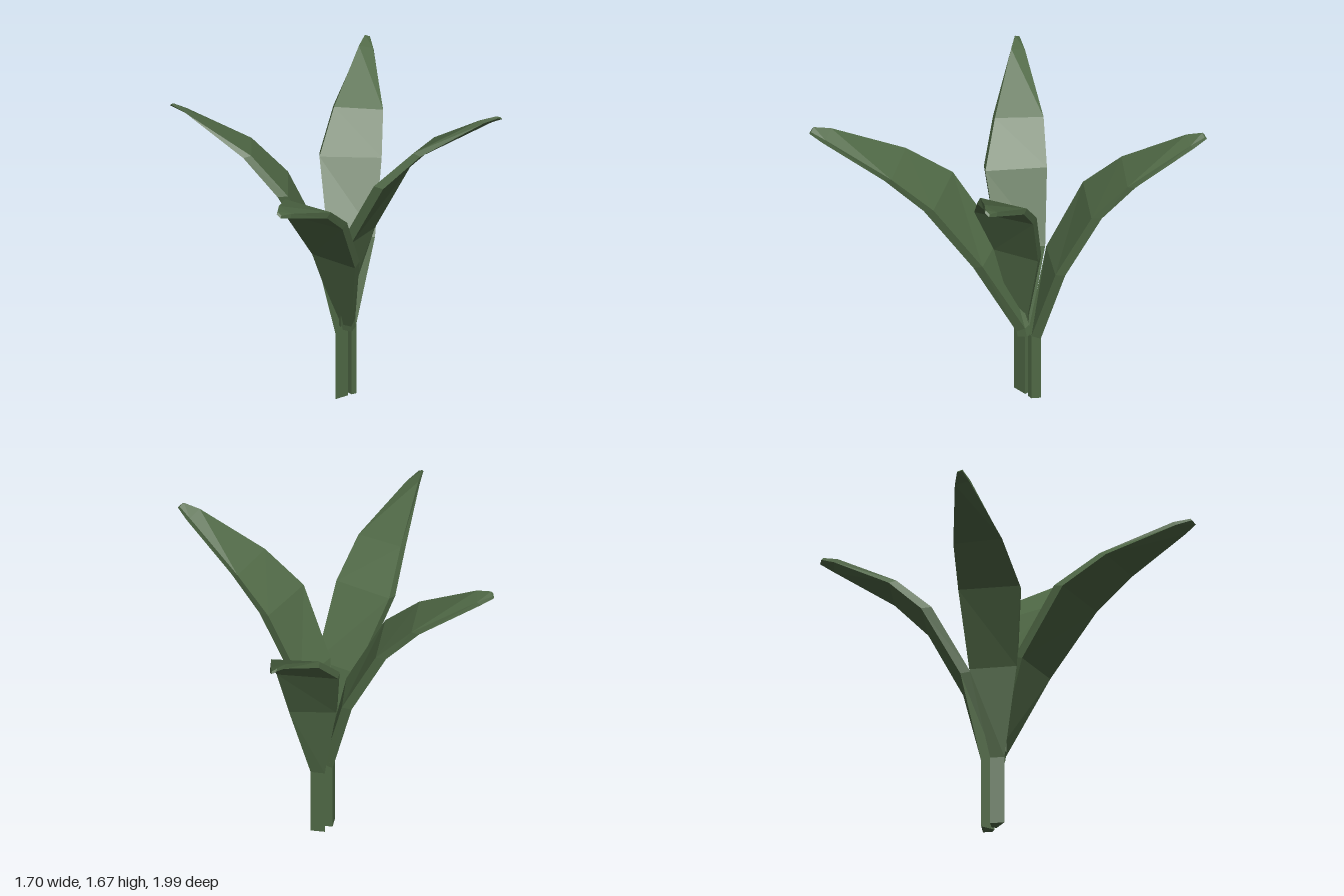
import * as THREE from 'three';

// Stem section, corners as [sideways, outward]: outer left, outer right, inner right, inner left
const STEM = [[-0.01, -0.015], [0.06, 0], [0.07, -0.046], [0.05, -0.065]];
const STEM_TOP = [0.36, 0.36, 0.38, 0.385];

// Blade sections, rolled about the leaf's length:
// inner left corner [sideways, outward, up], then outer right corner
const BLADE = [
  [[-0.09, 0.014, 0.82], [0.125, 0.128, 0.80]],
  [[-0.172, 0.19, 1.167], [0.118, 0.31, 1.155]],
  [[-0.142, 0.385, 1.355], [0.085, 0.475, 1.33]],
  [[-0.09, 0.715, 1.548], [-0.025, 0.76, 1.512]],
  [[-0.078, 0.795, 1.572], [-0.058, 0.82, 1.55]],
];
const THICKNESS = 0.42; // share of each section's depth taken by the edge

// Four-sided solid leaf lofted through the sections; side = -1 mirrors it
function leafGeometry(side, foot) {
  const rows = [
    STEM.map(([l, r]) => [l, foot, r]),
    STEM.map(([l, r], i) => [l, STEM_TOP[i], r]),
  ];
  BLADE.forEach(([[l0, r0, y0], [l1, r1, y1]], i) => {
    const skew = i < 3 ? 0.012 : 0.002;
    const dr = THICKNESS * (r1 - r0), dy = THICKNESS * (y1 - y0);
    rows.push([
      [l0 - skew, y0 + dy, r0 + dr],
      [l1, y1, r1],
      [l1 + skew, y1 - dy, r1 - dr],
      [l0, y0, r0],
    ]);
  });
  const points = rows.flat().flatMap(([l, y, r]) => [side * l, y, r]);

  const index = [];
  const tri = (a, b, c) => (side > 0 ? index.push(a, b, c) : index.push(a, c, b));
  const t = (rows.length - 1) * 4;
  for (let i = 0; i < t; i += 4) {
    for (let j = 0; j < 4; j++) {
      const a = i + j, b = i + (j + 1) % 4;
      tri(a, b, b + 4);
      tri(a, b + 4, a + 4);
    }
  }
  // end caps
  tri(0, 2, 1);
  tri(0, 3, 2);
  tri(t, t + 1, t + 2);
  tri(t, t + 2, t + 3);

  const geometry = new THREE.BufferGeometry();
  geometry.setAttribute('position', new THREE.Float32BufferAttribute(points, 3));
  geometry.setIndex(index);
  const flat = geometry.toNonIndexed();
  flat.computeVertexNormals();
  return flat;
}

export function createModel() {
  const group = new THREE.Group();
  group.name = 'plant';
  const green = new THREE.MeshStandardMaterial({ color: 0x4f6845, flatShading: true });

  const addLeaf = (name, side, foot, position, turn, tilt = 0, scale = 1) => {
    const leaf = new THREE.Mesh(leafGeometry(side, foot), green);
    leaf.name = name;
    leaf.position.set(...position);
    leaf.rotation.set(tilt, turn, 0, 'YXZ');
    leaf.scale.setScalar(scale);
    group.add(leaf);
  };

  // Two leaves stand on stems reaching the ground
  addLeaf('backLeaf', -1, 0, [0, 0, -0.176], Math.PI);
  addLeaf('rightLeaf', -1, 0, [-0.03, 0, -0.046], -Math.PI / 2);
  // Two grow from the top of the stems; the front one leans further out
  addLeaf('leftLeaf', 1, 0.3, [0.028, 0.1, -0.046], Math.PI / 2);
  addLeaf('frontLeaf', 1, 0.33, [0, 0.033, -0.121], 0, 0.178, 1.03);

  return group;
}
